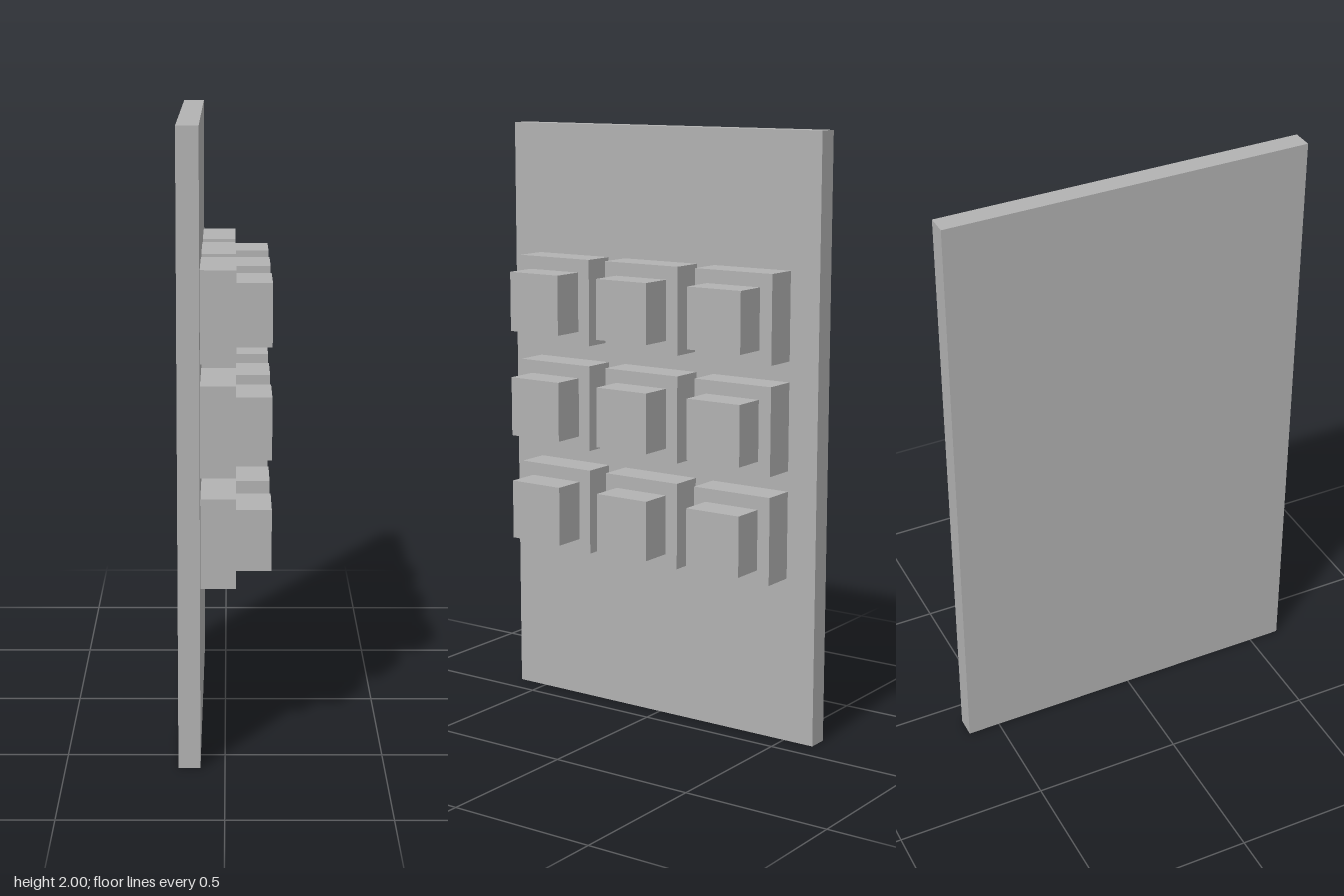
import * as THREE from 'three';

export function createModel() {
  const group = new THREE.Group();
  const grey = new THREE.MeshStandardMaterial({ color: 0xb2b2b2 });
  grey.name = 'grey';

  // Box spanning x0..x1, centred on y and z
  const addBox = (name, x0, x1, height, depth, y, z) => {
    const mesh = new THREE.Mesh(new THREE.BoxGeometry(x1 - x0, height, depth), grey);
    mesh.name = name;
    mesh.position.set((x0 + x1) / 2, y, z);
    group.add(mesh);
  };

  // Upright back panel
  addBox('panel', -0.146, -0.077, 2, 1.22, 1, 0);

  // Three by three grid of stepped studs on the +x side
  const spacing = 0.358;
  for (let row = -1; row <= 1; row++) {
    for (let col = -1; col <= 1; col++) {
      const y = 1.056 + row * spacing;
      const z = col * spacing;
      addBox('studBase', -0.077, 0.034, 0.29, 0.29, y, z);
      addBox('studTip', 0.034, 0.146, 0.2, 0.2, y, z);
    }
  }
  return group;
}
